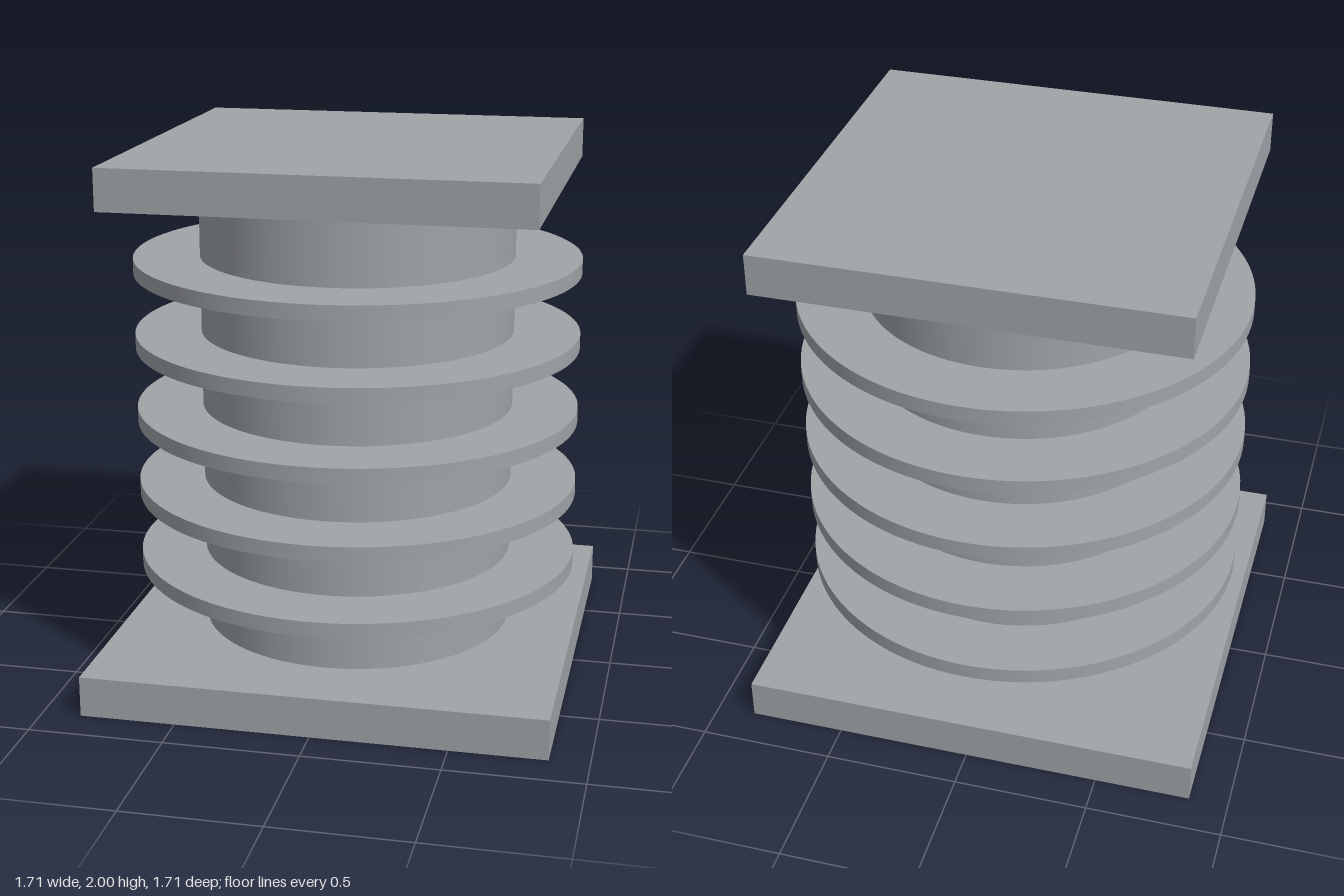
import * as THREE from 'three';

export function createModel() {
  const group = new THREE.Group();
  const steel = new THREE.MeshStandardMaterial({ color: 0xa0a4a8 });
  steel.name = 'grey steel';

  const add = (name, geometry, y) => {
    const mesh = new THREE.Mesh(geometry, steel);
    mesh.name = name;
    mesh.position.y = y;
    group.add(mesh);
  };

  // Square end plates, the base slightly wider than the cap
  const plate = 0.152;
  add('basePlate', new THREE.BoxGeometry(1.71, plate, 1.71), plate / 2);
  add('topPlate', new THREE.BoxGeometry(1.52, plate, 1.52), 2 - plate / 2);

  // Central drum between the plates
  add('drum', new THREE.CylinderGeometry(0.59, 0.59, 2 - 2 * plate, 96), 1);

  // Evenly spaced thin fins around the drum
  const fin = new THREE.CylinderGeometry(0.838, 0.838, 0.057, 96);
  for (let i = 0; i < 5; i++) add(`fin${i + 1}`, fin, 0.409 + i * 0.286);

  return group;
}
